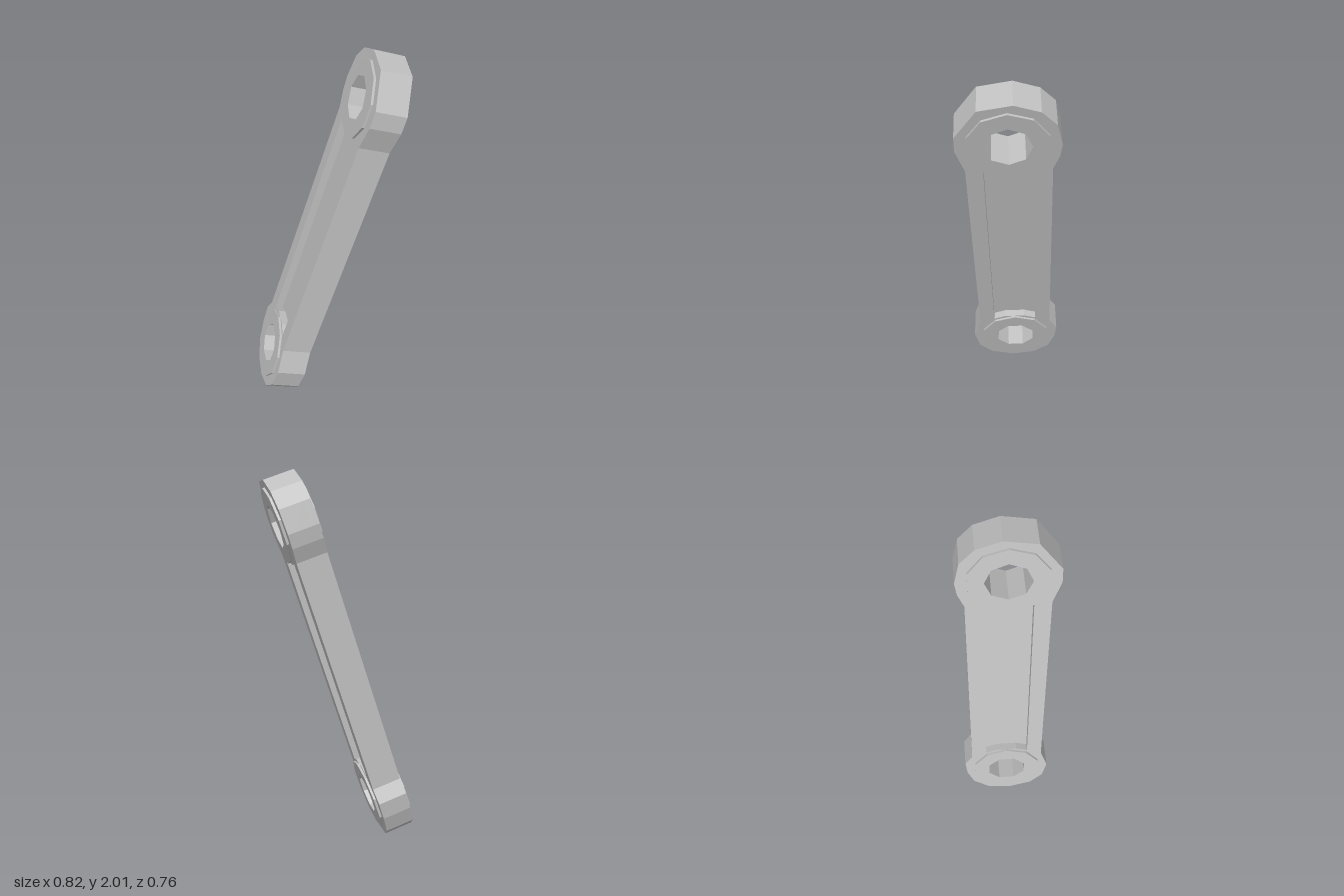
import * as THREE from 'three';

export function createModel() {
  const model = new THREE.Group();
  model.name = 'connectingLink';
  const grey = new THREE.MeshStandardMaterial({ color: 0xbfbfbf, flatShading: true });
  grey.name = 'grey';

  const half = 0.79;      // centre to eye centre
  const thick = 0.156, recess = 0.04, bossHeight = 0.012;

  const points = (list, dy = 0) => list.map(([x, y]) => new THREE.Vector2(x, y + dy));
  const polygon = (r, sides, turn, dy) =>
    Array.from({ length: sides }, (_, i) => {
      const a = turn + (i / sides) * Math.PI * 2;
      return new THREE.Vector2(r * Math.cos(a), r * Math.sin(a) + dy);
    });

  // Faceted outline: upper eye, straight shank, lower eye
  const outline = [
    ...points([[0.2, -0.155], [0.239, -0.03], [0.237, 0.054], [0.13, 0.206], [-0.027, 0.233],
      [-0.147, 0.19], [-0.216, 0.113], [-0.24, -0.005], [-0.23, -0.077], [-0.2, -0.155]], half),
    ...points([[-0.2, 0.13], [-0.242, 0.057], [-0.232, -0.043], [-0.194, -0.148], [-0.107, -0.22],
      [0.02, -0.24], [0.145, -0.2], [0.216, -0.119], [0.239, 0], [0.2, 0.13]], -half),
  ];
  const eyes = [
    { name: 'upper', y: half, turn: 0 },
    { name: 'lower', y: -half, turn: Math.PI / 8 },
  ];
  const bores = () => eyes.map(e => new THREE.Path(polygon(0.11, 8, e.turn, e.y)));

  // Panel pocket with ends wrapping around the eyes
  const pocket = () => new THREE.Path([
    ...points([[0.118, 0.168], [0.055, 0.192], [-0.055, 0.192], [-0.118, 0.168]], -half),
    ...points([[-0.118, -0.168], [-0.055, -0.192], [0.055, -0.192], [0.118, -0.168]], half),
  ]);

  const slab = (name, pts, holes, z, depth) => {
    const shape = new THREE.Shape(pts);
    shape.holes.push(...holes);
    const geo = new THREE.ExtrudeGeometry(shape, { depth, bevelEnabled: false });
    geo.translate(0, 0, z);
    const mesh = new THREE.Mesh(geo, grey);
    mesh.name = name;
    model.add(mesh);
  };

  // Core web, and a raised rim on each face
  slab('web', outline, bores(), -thick / 2 + recess, thick - 2 * recess);
  slab('frontRim', outline, [...bores(), pocket()], thick / 2 - recess, recess);
  slab('backRim', outline, [...bores(), pocket()], -thick / 2, recess);

  // Thin bosses around the bores on both faces
  for (const e of eyes) {
    for (const [side, z] of [['Front', thick / 2], ['Back', -thick / 2 - bossHeight]]) {
      slab(e.name + side + 'Boss', polygon(0.193, 10, Math.PI / 10, e.y),
        [new THREE.Path(polygon(0.11, 8, e.turn, e.y))], z, bossHeight);
    }
  }

  // Lean the link: local y runs along the shank, local z is the face normal
  const along = new THREE.Vector3(0.35, 1.508, -0.31).normalize();
  const normal = new THREE.Vector3(-0.65, 0.29, 0.71);
  normal.addScaledVector(along, -normal.dot(along)).normalize();
  const across = new THREE.Vector3().crossVectors(along, normal);
  model.quaternion.setFromRotationMatrix(new THREE.Matrix4().makeBasis(across, along, normal));
  model.position.y = 1;

  const root = new THREE.Group();
  root.name = 'link';
  root.add(model);
  return root;
}
